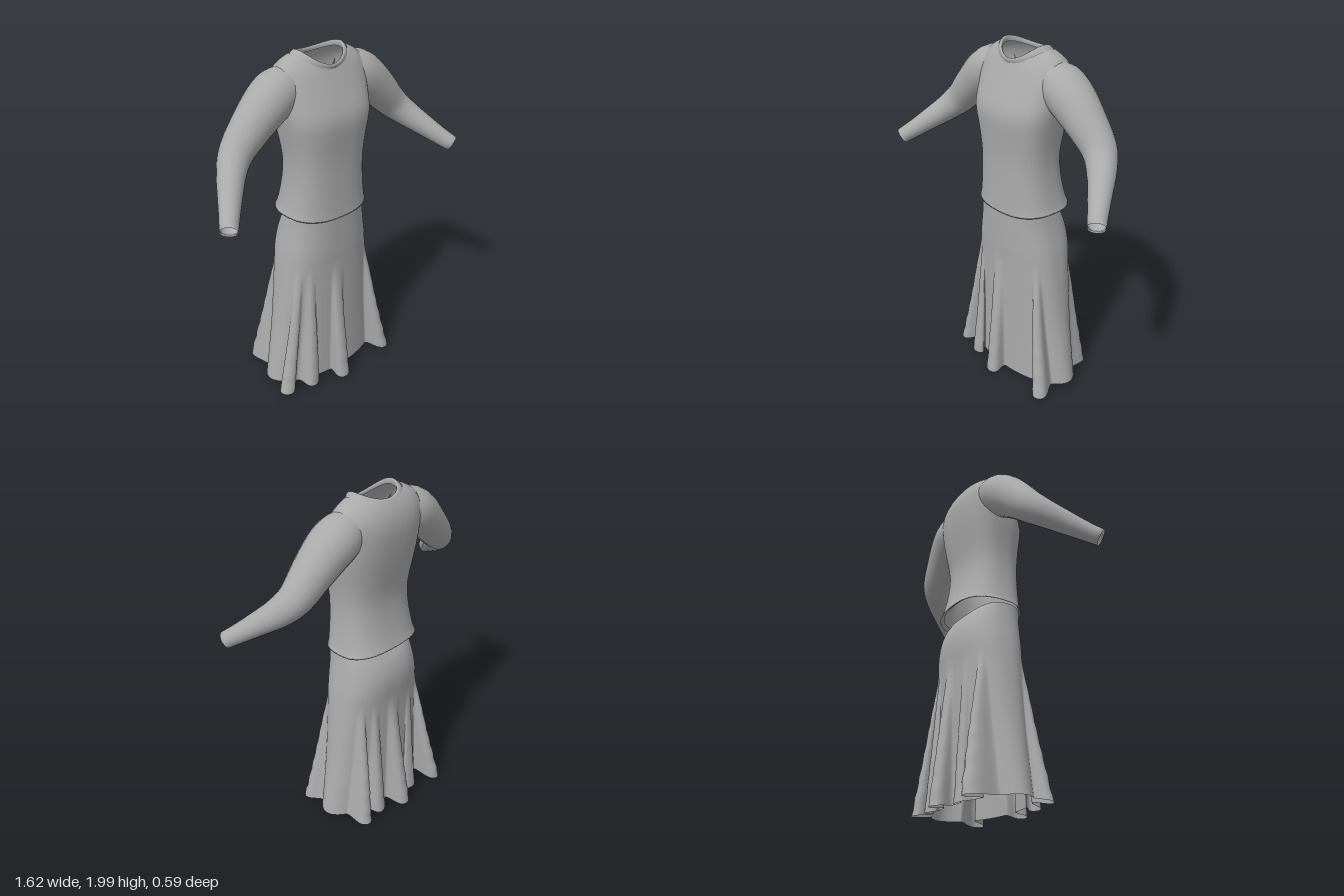
import * as THREE from 'three';

const fabric = new THREE.MeshStandardMaterial({ color: 0xaaaaaa, side: THREE.DoubleSide });
fabric.name = 'grey fabric';

// Skin a list of equal-length closed rings of Vector3
function loft(rings) {
  const n = rings[0].length, index = [];
  for (let i = 0; i < rings.length - 1; i++) {
    for (let j = 0; j < n; j++) {
      const a = i * n + j, b = i * n + (j + 1) % n;
      index.push(a, a + n, b + n, a, b + n, b);
    }
  }
  const geo = new THREE.BufferGeometry().setFromPoints(rings.flat());
  geo.setIndex(index);
  geo.computeVertexNormals();
  return geo;
}

// Interpolate extra rows smoothly between key rows
function refine(rows, steps) {
  const cubic = new THREE.CubicInterpolant(rows.map((_, i) => i), rows.flat(), rows[0].length, []);
  const out = [];
  for (let i = 0; i <= (rows.length - 1) * steps; i++) out.push(Array.from(cubic.evaluate(i / steps)));
  return out;
}

// Oval, boxier as the power drops; height differs between sides, front and back
function ovalPoint([ySide, yFront, yBack, rx, zf, zb, power], a) {
  const c = Math.cos(a), s = Math.sin(a);
  const soft = (v) => Math.sign(v) * Math.abs(v) ** power;
  const y = ySide * c * c + (s > 0 ? yFront : yBack) * s * s;
  return new THREE.Vector3(rx * soft(c), y, (zf + zb) / 2 + (zf - zb) / 2 * soft(s));
}

const ring = (n, fn) => Array.from({ length: n }, (_, j) => fn(j / n * Math.PI * 2));

function mesh(name, geo) {
  const m = new THREE.Mesh(geo, fabric);
  m.name = name;
  return m;
}

// Rows: side y, front y, back y, half width, front z, back z, power
const torsoRows = [
  [1.14, 1.12, 1.155, 0.245, 0.175, -0.175, 0.78],
  [1.12, 1.10, 1.14, 0.262, 0.185, -0.197, 0.78],
  [1.145, 1.125, 1.165, 0.252, 0.183, -0.188, 0.78],
  [1.21, 1.20, 1.22, 0.24, 0.18, -0.172, 0.77],
  [1.30, 1.30, 1.30, 0.228, 0.178, -0.155, 0.76],
  [1.42, 1.42, 1.42, 0.224, 0.178, -0.143, 0.75],
  [1.55, 1.55, 1.55, 0.24, 0.186, -0.16, 0.73],
  [1.66, 1.66, 1.66, 0.26, 0.192, -0.176, 0.72],
  [1.76, 1.75, 1.77, 0.27, 0.16, -0.186, 0.75],
  [1.86, 1.83, 1.85, 0.28, 0.126, -0.182, 0.84],
  [1.927, 1.88, 1.91, 0.255, 0.105, -0.163, 0.92],
  [1.965, 1.905, 1.945, 0.2, 0.094, -0.142, 0.97],
  [1.978, 1.912, 1.953, 0.165, 0.094, -0.136, 1],
];

// Neckband rows, rolled over the edge
const neckRows = [
  [1.972, 1.908, 1.95, 0.166, 0.096, -0.138, 1],
  [1.988, 1.922, 1.958, 0.152, 0.1, -0.133, 1],
  [2.0, 1.93, 1.963, 0.138, 0.095, -0.123, 1],
  [1.993, 1.925, 1.958, 0.129, 0.087, -0.115, 1],
  [1.97, 1.91, 1.94, 0.13, 0.088, -0.117, 1],
];

// Skirt rows add a final value: how far the flared folds stand out
const skirtRows = [
  [0.035, 0.025, 0.03, 0.405, 0.172, -0.182, 1.02, 1],
  [0.2, 0.195, 0.2, 0.375, 0.171, -0.183, 0.98, 0.79],
  [0.4, 0.4, 0.4, 0.34, 0.171, -0.185, 0.92, 0.53],
  [0.6, 0.6, 0.6, 0.313, 0.172, -0.187, 0.86, 0.27],
  [0.77, 0.77, 0.77, 0.292, 0.174, -0.19, 0.82, 0.03],
  [0.88, 0.88, 0.88, 0.277, 0.178, -0.196, 0.8, 0],
  [0.98, 0.98, 0.96, 0.257, 0.18, -0.19, 0.8, 0],
  [1.06, 1.05, 1.03, 0.242, 0.181, -0.167, 0.8, 0],
  [1.125, 1.11, 1.085, 0.232, 0.182, -0.132, 0.8, 0],
];

// Folds: root angle in degrees, tip x and z at the hem
const folds = [
  [40, 0.365, 0.225], [93, -0.02, 0.265], [126, -0.205, 0.21], [146, -0.4, 0.165],
  [222, -0.32, -0.295], [248, -0.13, -0.228], [272, -0.02, -0.3], [295, 0.13, -0.235], [316, 0.275, -0.25],
].map(([deg, x, z]) => {
  const angle = deg * Math.PI / 180, hem = skirtRows[0];
  const push = new THREE.Vector3(x, 0, z).sub(ovalPoint(hem, angle)).setY(0);
  const side = new THREE.Vector3(-push.z, 0, push.x).normalize();
  // Every fold takes up the same length of hem
  const speed = ovalPoint(hem, angle + 0.1).distanceTo(ovalPoint(hem, angle - 0.1)) / 0.2;
  return { angle, push, side, spread: 0.048 / speed };
});

function skirtPoint(row, a) {
  const p = ovalPoint(row, a), g = Math.max(row[7], 0);
  for (const { angle, push, side, spread } of folds) {
    const u = (a - angle) / spread;
    if (Math.abs(u) >= 1) continue;
    const out = (1 + Math.cos(Math.PI * u)) / 2;
    const ripple = 1 + 0.03 * Math.sin(p.y * 55 + angle * 7);
    p.addScaledVector(push, g * out * ripple);
    // Swell the fold sideways towards a rounded tip
    p.addScaledVector(side, g * 0.04 * Math.sin(Math.PI * u) * out);
    p.y -= g * out * 0.015;
  }
  return p;
}

// Sleeve rows: centre x, y, z and radius
const sleeveRows = [
  [0.2, 1.835, -0.034, 0.108],
  [0.26, 1.808, -0.032, 0.122],
  [0.33, 1.762, -0.027, 0.121],
  [0.43, 1.675, -0.02, 0.106],
  [0.53, 1.575, -0.008, 0.089],
  [0.6, 1.505, 0.045, 0.075],
  [0.66, 1.445, 0.118, 0.063],
  [0.72, 1.385, 0.195, 0.052],
  [0.772, 1.336, 0.262, 0.045],
];

function sleeve(s) {
  const rows = refine(sleeveRows, 3);
  const centres = rows.map(([x, y, z]) => new THREE.Vector3(s * x, y, z));
  const rings = rows.map((row, i) => {
    const t = centres[Math.min(i + 1, rows.length - 1)].clone().sub(centres[Math.max(i - 1, 0)]).normalize();
    const u = new THREE.Vector3(s, 1, 0);
    u.addScaledVector(t, -u.dot(t)).normalize();
    const v = u.clone().cross(t);
    return ring(24, (a) => centres[i].clone()
      .addScaledVector(u, row[3] * Math.cos(a)).addScaledVector(v, row[3] * Math.sin(a)));
  });
  // Cuff turned inwards
  const end = centres[centres.length - 1], before = centres[centres.length - 2];
  rings.push(rings[rings.length - 1].map((p) => p.clone().lerp(end, 0.08).lerp(p.clone().add(before).sub(end), 0.6)));
  return loft(rings);
}

export function createModel() {
  const group = new THREE.Group();
  group.name = 'outfit';

  const top = new THREE.Group();
  top.name = 'sweater';
  top.add(mesh('torso', loft(refine(torsoRows, 2).map((r) => ring(64, (a) => ovalPoint(r, a))))));
  top.add(mesh('neckband', loft(refine(neckRows, 2).map((r) => ring(64, (a) => ovalPoint(r, a))))));
  top.add(mesh('leftSleeve', sleeve(1)), mesh('rightSleeve', sleeve(-1)));

  group.add(top);
  group.add(mesh('skirt', loft(refine(skirtRows, 5).map((r) => ring(480, (a) => skirtPoint(r, a))))));
  return group;
}
